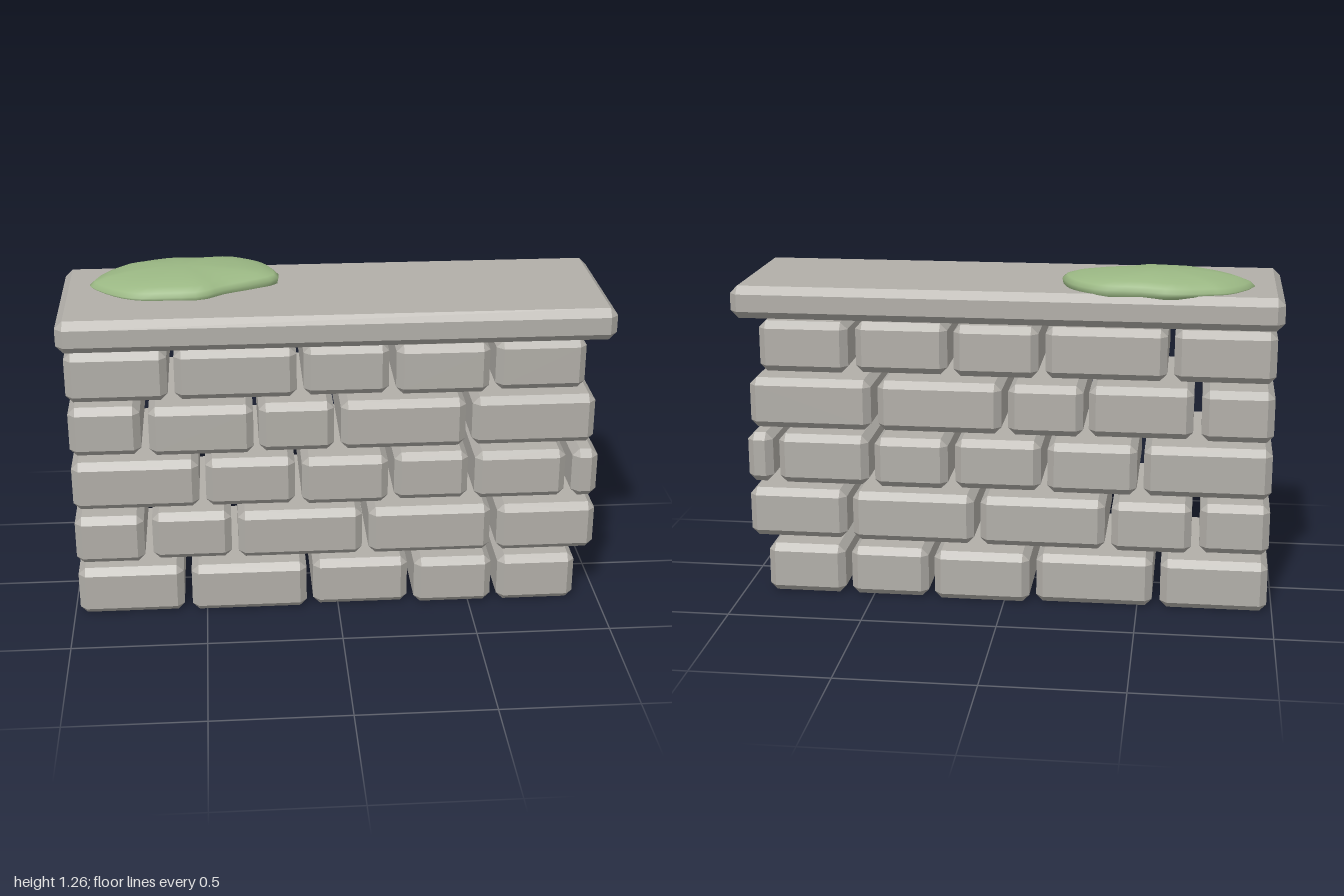
import * as THREE from 'three';
import { ConvexGeometry } from 'three/addons/geometries/ConvexGeometry.js';

// Box with flat chamfered edges and triangular corners, given by min/max per axis
function chamferBox(x0, x1, y0, y1, z0, z1, c) {
  const h = [(x1 - x0) / 2, (y1 - y0) / 2, (z1 - z0) / 2];
  const pts = [];
  for (const sx of [-1, 1]) for (const sy of [-1, 1]) for (const sz of [-1, 1]) {
    for (let axis = 0; axis < 3; axis++) {
      const p = h.map((v, i) => (i === axis ? v : v - c));
      pts.push(new THREE.Vector3(p[0] * sx, p[1] * sy, p[2] * sz));
    }
  }
  const geo = new ConvexGeometry(pts);
  geo.translate((x0 + x1) / 2, (y0 + y1) / 2, (z0 + z1) / 2);
  return geo;
}

// Low smooth mound lofted from scaled copies of one irregular outline
function mossGeometry() {
  const outline = [
    [-0.895, -0.09], [-0.81, -0.235], [-0.73, -0.27], [-0.6, -0.305], [-0.49, -0.29], [-0.345, -0.29],
    [-0.265, -0.24], [-0.22, -0.175], [-0.2, -0.065], [-0.29, -0.01], [-0.4, 0.04], [-0.48, 0.095],
    [-0.61, 0.095], [-0.72, 0.085], [-0.8, 0.04], [-0.88, -0.05],
  ].map(([x, z]) => new THREE.Vector3(x, 0, z));
  const n = 40;
  const loop = new THREE.CatmullRomCurve3(outline, true).getPoints(n).slice(0, n);
  const cx = -0.55, cz = -0.11;
  const rings = [[0.93, 1.18], [0.985, 1.192], [1, 1.207], [0.95, 1.222], [0.82, 1.237], [0.6, 1.25], [0.3, 1.258]];
  const pos = [], index = [];
  for (const [s, y] of rings) {
    for (const p of loop) {
      const dx = (p.x - cx) * s, dz = (p.z - cz) * s;
      const tilt = y > 1.2 ? 0.025 * dx * s : 0;
      pos.push(cx + dx, y + tilt, cz + dz);
    }
  }
  pos.push(cx, 1.26, cz);
  const top = rings.length * n;
  for (let r = 0; r < rings.length; r++) {
    for (let j = 0; j < n; j++) {
      const a = r * n + j, a1 = r * n + (j + 1) % n;
      if (r === rings.length - 1) index.push(a1, a, top);
      else index.push(a1, a, a + n, a1, a + n, a1 + n);
    }
  }
  const geo = new THREE.BufferGeometry();
  geo.setAttribute('position', new THREE.Float32BufferAttribute(pos, 3));
  geo.setIndex(index);
  geo.computeVertexNormals();
  return geo;
}

export function createModel() {
  const stone = new THREE.MeshStandardMaterial({ color: 0xb2afa9 });
  stone.name = 'grey stone';
  const green = new THREE.MeshStandardMaterial({ color: 0x9ab783 });
  green.name = 'moss green';

  const wall = new THREE.Group();
  wall.name = 'stoneWall';
  const add = (parent, geo, mat, name) => {
    const mesh = new THREE.Mesh(geo, mat);
    mesh.name = name;
    parent.add(mesh);
  };

  // Courses from the ground up: bottom height, z shift of the end brick, x spans
  const courses = [
    { y: 0.005, shift: 0.008, spans: [[-0.98, -0.585], [-0.555, -0.12], [-0.095, 0.265], [0.29, 0.585], [0.61, 0.905]] },
    { y: 0.22, shift: 0.012, spans: [[-0.98, -0.725], [-0.695, -0.4], [-0.375, 0.09], [0.115, 0.575], [0.6, 0.97]] },
    { y: 0.438, shift: 0.008, spans: [[-0.98, -0.515], [-0.49, -0.16], [-0.135, 0.185], [0.21, 0.485], [0.51, 0.85], [0.875, 0.97]] },
    { y: 0.655, shift: -0.006, spans: [[-0.98, -0.72], [-0.69, -0.31], [-0.29, -0.015], [0.01, 0.47], [0.495, 0.95]] },
    { y: 0.872, shift: -0.01, spans: [[-0.98, -0.615], [-0.59, -0.15], [-0.125, 0.185], [0.21, 0.55], [0.575, 0.905]] },
  ];
  courses.forEach(({ y, shift, spans }, row) => {
    const course = new THREE.Group();
    course.name = `brickCourse${row + 1}`;
    spans.forEach(([x0, x1], i) => {
      // Bricks sit slightly in or out of line
      const z = i === spans.length - 1 ? shift : 0.008 * Math.sin(i * 2.4 + row * 1.7);
      add(course, chamferBox(x0, x1, y, y + 0.19, z - 0.266, z + 0.266, 0.026), stone, `brick${i + 1}`);
    });
    // Stand the lowest course on the ground
    if (row === 0) course.position.y = -0.005;
    wall.add(course);
  });

  // Coping slab and the moss patch on it
  add(wall, chamferBox(-1, 1, 1.075, 1.195, -0.307, 0.307, 0.028), stone, 'copingSlab');
  add(wall, mossGeometry(), green, 'mossPatch');
  return wall;
}
